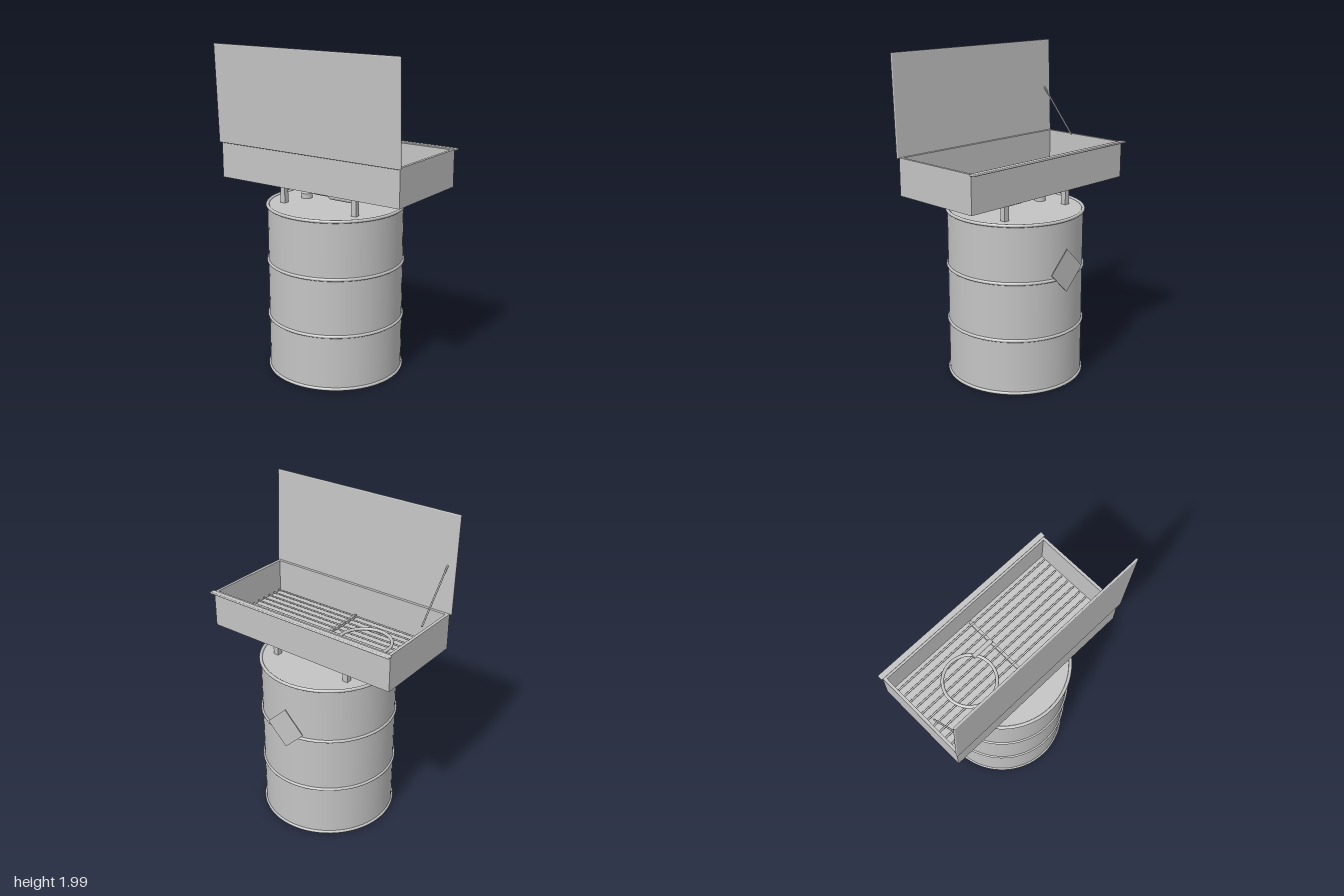
import * as THREE from 'three';
import { RoundedBoxGeometry } from 'three/addons/geometries/RoundedBoxGeometry.js';

export function createModel() {
  const model = new THREE.Group();
  const steel = new THREE.MeshStandardMaterial({ color: 0xc4c4c4 });
  steel.name = 'grey steel';

  const add = (name, geometry, x, y, z, parent = model) => {
    const mesh = new THREE.Mesh(geometry, steel);
    mesh.name = name;
    mesh.position.set(x, y, z);
    parent.add(mesh);
    return mesh;
  };
  const box = (name, w, h, d, x, y, z, parent) =>
    add(name, new THREE.BoxGeometry(w, h, d), x, y, z, parent);
  const group = (name) => {
    const g = new THREE.Group();
    g.name = name;
    model.add(g);
    return g;
  };
  // Round bar between two points
  const rod = (name, a, b, r, parent) => {
    const dir = b.clone().sub(a);
    const mid = a.clone().add(b).multiplyScalar(0.5);
    const mesh = add(name, new THREE.CylinderGeometry(r, r, dir.length(), 10), mid.x, mid.y, mid.z, parent);
    mesh.quaternion.setFromUnitVectors(new THREE.Vector3(0, 1, 0), dir.normalize());
    return mesh;
  };

  // Drum with rolled hoops
  const drum = group('drum');
  add('drumBody', new THREE.CylinderGeometry(0.412, 0.412, 1.045, 64), 0, 0.5325, 0, drum);
  for (const y of [0.02, 0.355, 0.708, 1.055]) {
    const hoop = add('drumHoop', new THREE.TorusGeometry(0.412, 0.01, 10, 64), 0, y, 0, drum);
    hoop.rotation.x = Math.PI / 2;
  }
  add('drumBung', new THREE.CylinderGeometry(0.035, 0.035, 0.03, 24), -0.22, 1.07, 0, drum);

  // Diamond placard on the back of the drum
  const placard = box('placard', 0.185, 0.185, 0.004, 0, 0.75, -0.421);
  placard.rotation.z = Math.PI / 4;

  // Legs between drum and basin
  for (const x of [-0.26, 0.26]) {
    for (const z of [-0.172, 0.172]) box('leg', 0.034, 0.14, 0.034, x, 1.12, z);
  }

  // Pump motor
  const pump = group('pump');
  add('pumpHousing', new RoundedBoxGeometry(0.2, 0.1, 0.1, 4, 0.02), 0.07, 1.13, 0, pump);
  const motor = add('pumpMotor', new THREE.CylinderGeometry(0.043, 0.043, 0.12, 28), -0.086, 1.128, 0, pump);
  motor.rotation.z = Math.PI / 2;

  // Open basin
  const basin = group('basin');
  box('basinFloor', 1.27, 0.015, 0.6, 0, 1.1925, 0, basin);
  for (const s of [-1, 1]) {
    box('basinEnd', 0.018, 0.225, 0.6, s * 0.626, 1.2975, 0, basin);
    box('basinSide', 1.234, 0.225, 0.018, 0, 1.2975, s * 0.291, basin);
  }
  add('basinLip', new RoundedBoxGeometry(1.29, 0.013, 0.035, 2, 0.005), 0, 1.409, -0.313, basin);

  // Grate
  const grate = group('grate');
  for (let i = 0; i < 11; i++) {
    const z = -0.248 + i * 0.0495;
    rod('grateBar', new THREE.Vector3(-0.6, 1.222, z), new THREE.Vector3(0.6, 1.222, z), 0.0055, grate);
  }
  box('grateCrossbar', 0.018, 0.014, 0.545, 0, 1.212, 0, grate);

  // Coiled hose with its nozzle
  const hose = group('hose');
  const coil = add('hoseCoil', new THREE.TorusGeometry(0.158, 0.01, 12, 56), -0.26, 1.236, 0, hose);
  coil.rotation.x = Math.PI / 2;
  const nozzle = add('hoseNozzle', new THREE.CylinderGeometry(0.015, 0.015, 0.145, 16), -0.073, 1.241, -0.09, hose);
  nozzle.rotation.z = Math.PI / 2;

  // Raised lid, leaning slightly forward, and its stay
  const lid = add('lid', new RoundedBoxGeometry(1.292, 0.597, 0.013, 2, 0.006), 0, 1.701, 0.319);
  lid.rotation.x = Math.atan2(0.022, 0.597);
  rod('lidStay', new THREE.Vector3(-0.592, 1.695, 0.315), new THREE.Vector3(-0.592, 1.41, 0.073), 0.005);

  return model;
}
